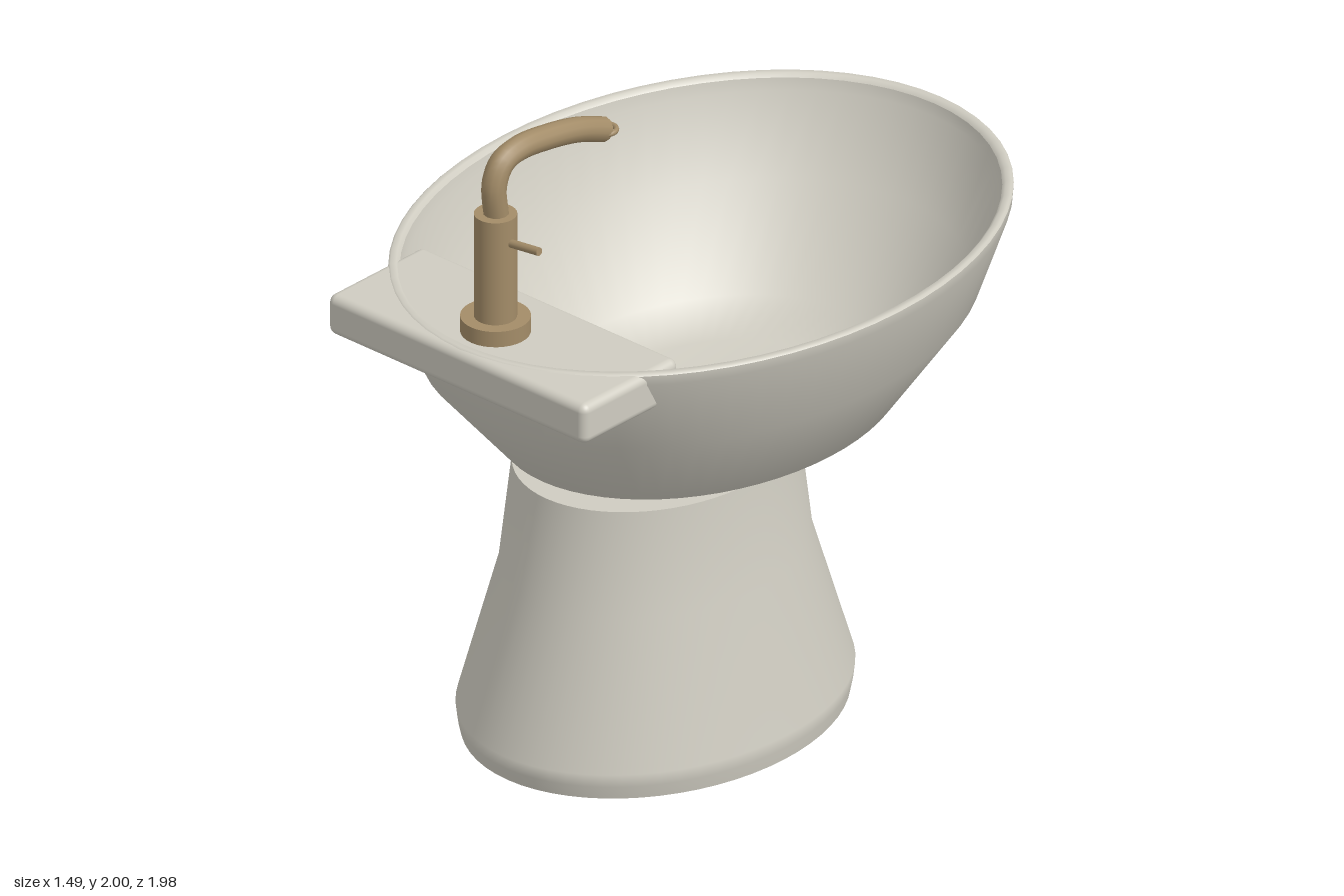
import * as THREE from 'three';
import { RoundedBoxGeometry } from 'three/addons/geometries/RoundedBoxGeometry.js';

const ceramic = new THREE.MeshStandardMaterial({ color: 0xcfccc1 });
ceramic.name = 'ceramic';
const bronze = new THREE.MeshStandardMaterial({ color: 0xa38c68 });
bronze.name = 'bronze';

// Smooth skin through elliptical rings [y, radiusX, radiusZ, centreZ].
// Rings running upwards face outwards, rings running downwards face inwards.
function loft(rings, sides = 64) {
  const positions = [];
  const index = [];
  rings.forEach(([y, rx, rz, cz], i) => {
    for (let j = 0; j < sides; j++) {
      const t = (j / sides) * Math.PI * 2;
      positions.push(rx * Math.cos(t), y, cz + rz * Math.sin(t));
      if (i === rings.length - 1) continue;
      const a = i * sides + j;
      const b = i * sides + ((j + 1) % sides);
      index.push(a, a + sides, b, b, a + sides, b + sides);
    }
  });
  const geometry = new THREE.BufferGeometry();
  geometry.setAttribute('position', new THREE.Float32BufferAttribute(positions, 3));
  geometry.setIndex(index);
  geometry.computeVertexNormals();
  return geometry;
}

function add(parent, name, geometry, material, x = 0, y = 0, z = 0) {
  const mesh = new THREE.Mesh(geometry, material);
  mesh.name = name;
  mesh.position.set(x, y, z);
  parent.add(mesh);
  return mesh;
}

export function createModel() {
  const model = new THREE.Group();
  model.name = 'bidet';

  // Pedestal: flared foot narrowing to the neck
  const pedestal = new THREE.Group();
  pedestal.name = 'pedestal';
  model.add(pedestal);
  const foot = [0, 0.48, 0.6, 0.175];
  const neck = [0.82, 0.352, 0.443, 0.175];
  add(pedestal, 'pedestalWall', loft([
    foot, [0.04, 0.486, 0.61, 0.175], [0.08, 0.49, 0.615, 0.175], [0.5, 0.387, 0.482, 0.175], neck,
  ]), ceramic);
  add(pedestal, 'pedestalBase', loft([[0, 0, 0, 0.175], foot]), ceramic);
  add(pedestal, 'pedestalTop', loft([neck, [0.82, 0, 0, 0.175]]), ceramic);

  // Bowl: outer shell, flat underside, rim and basin
  const bowl = new THREE.Group();
  bowl.name = 'bowl';
  model.add(bowl);
  add(bowl, 'bowlShell', loft([
    [0.803, 0, 0, 0], [0.803, 0.34, 0.455, 0], [0.88, 0.485, 0.64, -0.006],
    [1.16, 0.667, 0.884, -0.008], [1.4, 0.742, 0.98, -0.01], [1.43, 0.744, 0.982, -0.01],
  ]), ceramic);
  add(bowl, 'bowlRim', loft([
    [1.43, 0.744, 0.982, -0.01], [1.436, 0.738, 0.976, -0.01],
    [1.436, 0.722, 0.96, -0.01], [1.425, 0.712, 0.95, -0.01],
  ]), ceramic);
  add(bowl, 'basin', loft([
    [1.425, 0.712, 0.95, -0.01], [1.39, 0.704, 0.942, -0.01], [1.16, 0.632, 0.848, -0.008],
    [0.91, 0.46, 0.61, -0.006], [0.86, 0.32, 0.43, 0], [0.855, 0, 0, 0],
  ]), ceramic);
  add(bowl, 'drain', new THREE.CylinderGeometry(0.072, 0.072, 0.02, 32), bronze, 0, 0.862, -0.01);

  // Tap deck across the back of the bowl
  add(model, 'tapDeck', new RoundedBoxGeometry(0.966, 0.124, 0.388, 4, 0.025), ceramic, 0, 1.37, 0.794);

  // Tap
  const tap = new THREE.Group();
  tap.name = 'tap';
  tap.position.z = 0.825;
  model.add(tap);
  add(tap, 'tapFlange', new THREE.CylinderGeometry(0.098, 0.098, 0.05, 32), bronze, 0, 1.455);
  add(tap, 'tapBody', new THREE.CylinderGeometry(0.06, 0.06, 0.32, 32), bronze, 0, 1.64);
  const lever = add(tap, 'tapLever', new THREE.CylinderGeometry(0.012, 0.012, 0.12, 12), bronze, 0.104, 1.732);
  lever.rotation.z = -Math.PI / 2 + 0.12;

  // Spout: bent tube with a closed tip and an outlet ring
  const path = new THREE.CatmullRomCurve3([
    [1.78, -0.005], [1.89, 0.005], [1.947, -0.025], [1.966, -0.09],
    [1.955, -0.21], [1.929, -0.33], [1.888, -0.437],
  ].map(([y, z]) => new THREE.Vector3(0, y, z)));
  add(tap, 'spout', new THREE.TubeGeometry(path, 40, 0.036, 12), bronze);
  const tip = add(tap, 'spoutTip', new THREE.CircleGeometry(0.036, 12), bronze);
  tip.position.copy(path.getPoint(1));
  tip.lookAt(path.getPoint(1).add(path.getTangent(1)));
  const outlet = add(tap, 'spoutOutlet', new THREE.TorusGeometry(0.032, 0.008, 8, 24), bronze, 0, 1.885, -0.444);
  outlet.rotation.x = Math.PI / 2;

  return model;
}
